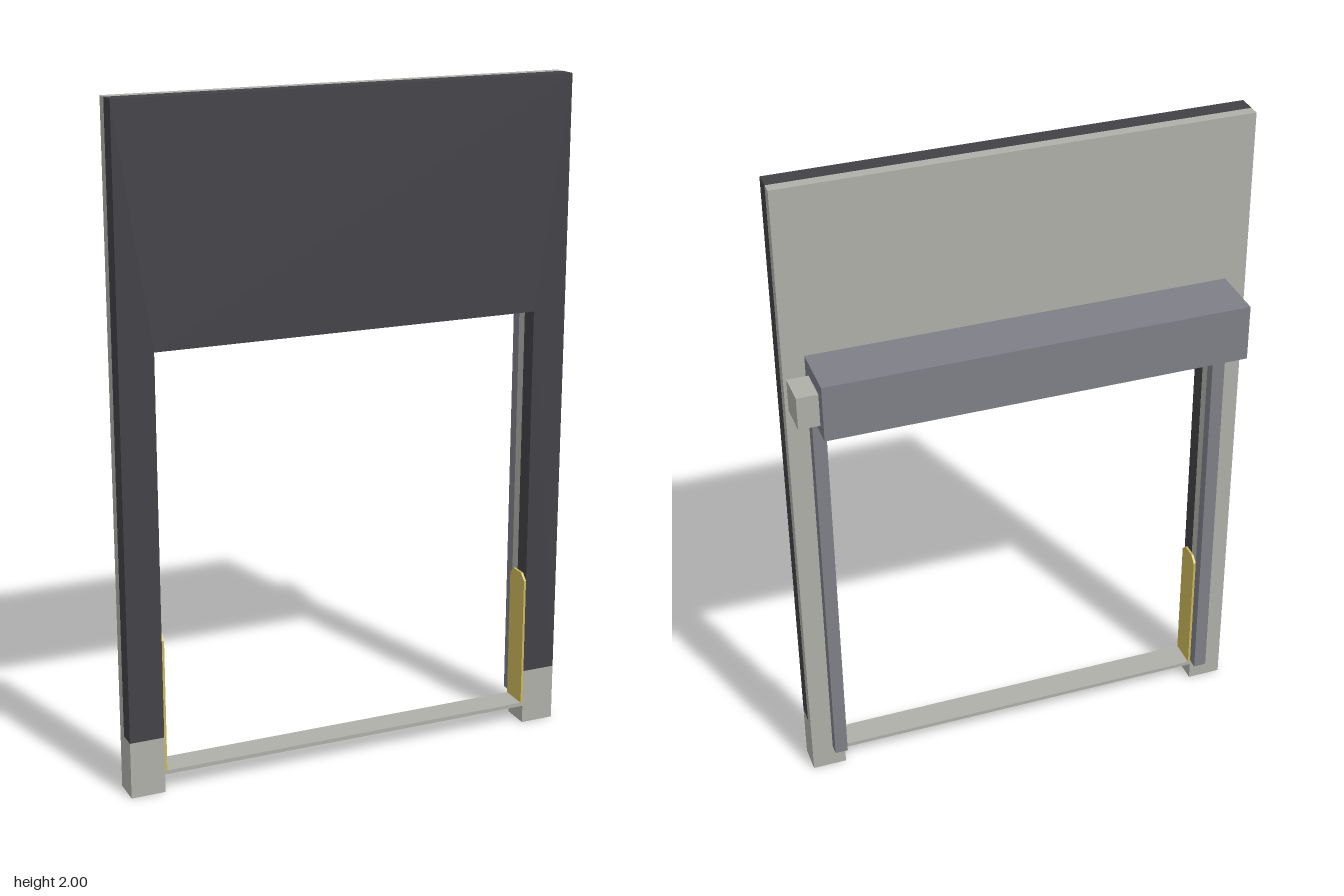
import * as THREE from 'three';

const mat = (name, color) => {
  const m = new THREE.MeshStandardMaterial({ color });
  m.name = name;
  return m;
};

export function createModel() {
  const dark = mat('charcoal cladding', 0x424146);
  const light = mat('light concrete', 0xb0b0aa);
  const grey = mat('shutter grey', 0x7e8087);
  const yellow = mat('safety yellow', 0xccb85c);

  const group = new THREE.Group();
  group.name = 'shutterDoorway';

  const add = (name, geometry, material) => {
    const mesh = new THREE.Mesh(geometry, material);
    mesh.name = name;
    group.add(mesh);
    return mesh;
  };
  // box given by its limits on each axis
  const box = (name, material, x0, x1, y0, y1, z0, z1) =>
    add(name, new THREE.BoxGeometry(x1 - x0, y1 - y0, z1 - z0), material)
      .position.set((x0 + x1) / 2, (y0 + y1) / 2, (z0 + z1) / 2);

  const W = 0.688, IN = 0.585, HEAD = 1.312, PLINTH = 0.172;
  const BACK = 0.043, MID = 0.076, FRONT = 0.13;

  // wall layers: an arch of two legs and a deep head
  const wall = (name, material, bottom, z0, z1) => {
    const outline = [[-W, bottom], [-IN, bottom], [-IN, HEAD], [IN, HEAD],
      [IN, bottom], [W, bottom], [W, 2], [-W, 2]];
    const shape = new THREE.Shape(outline.map(p => new THREE.Vector2(...p)));
    add(name, new THREE.ExtrudeGeometry(shape, { depth: z1 - z0, bevelEnabled: false }), material)
      .position.z = z0;
  };
  wall('rearWall', light, 0, BACK, MID);
  wall('frontCladding', dark, PLINTH, MID, FRONT);

  // threshold bar between the legs
  box('threshold', light, -IN, IN, 0.055, 0.067, BACK, FRONT);

  // roller housing and its motor
  box('rollerHousing', grey, -0.624, 0.624, 1.322, 1.492, -0.13, BACK);
  box('motor', light, 0.624, 0.686, 1.35, 1.45, -0.093, 0.008);

  // jamb plate with clipped upper corners, drawn in depth and height
  const c = 0.02;
  const plate = new THREE.Shape([[BACK, 0.067], [FRONT, 0.067], [FRONT, 0.49 - c],
    [FRONT - c, 0.49], [BACK + c, 0.49], [BACK, 0.49 - c]].map(p => new THREE.Vector2(...p)));
  const plateGeometry = new THREE.ExtrudeGeometry(plate, { depth: 0.007, bevelEnabled: false });
  plateGeometry.rotateY(-Math.PI / 2); // depth now runs towards -x, profile along z

  for (const [side, s] of [['left', 1], ['right', -1]]) {
    const span = (a, b) => (s > 0 ? [a, b] : [-b, -a]);
    box(side + 'Plinth', light, ...span(IN, W), 0, PLINTH, MID, FRONT);
    box(side + 'GuideRail', grey, ...span(IN, 0.624), 0.072, 1.322, 0.009, BACK);
    add(side + 'JambGuard', plateGeometry, yellow).position.x = s > 0 ? IN : -IN + 0.007;
  }

  return group;
}
